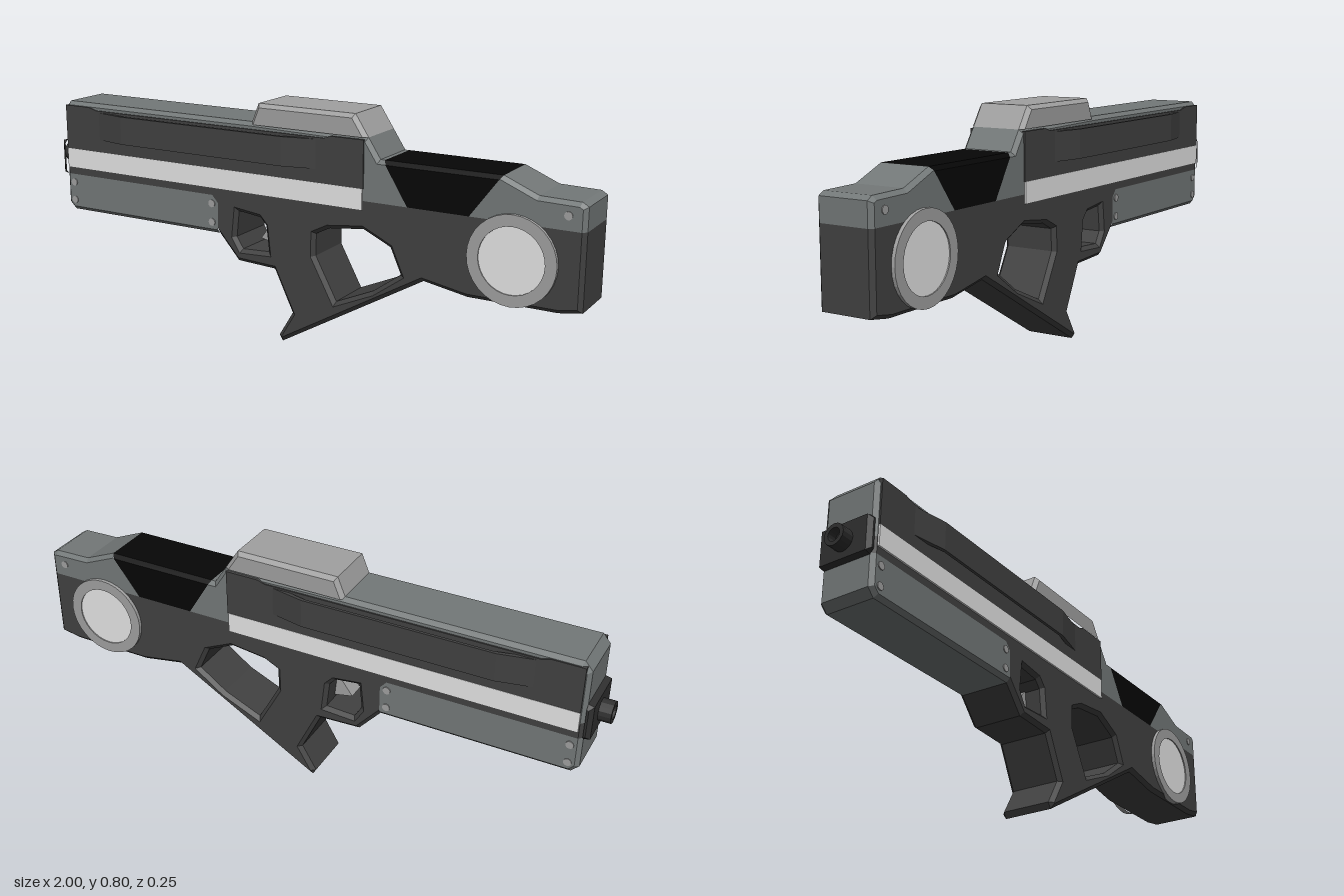
import * as THREE from 'three';

const mat = (name, color) => Object.assign(new THREE.MeshStandardMaterial({ color }), { name });
const H = 0.098;      // half thickness of the body
const BEVEL = 0.013;

// Chamfered slab from loops of [x, y, seam]; the outer loop runs counter-clockwise,
// holes clockwise. A seam edge butts against a neighbour and gets no chamfer or wall.
function slab(...loops) {
  const pos = [];
  const tri = (...v) => v.forEach((p) => pos.push(...p));
  const quad = (a, b, c, d) => tri(a, b, c, a, c, d);
  const at = (p, z) => [p[0], p[1], z];

  const insets = loops.map((loop) => {
    const n = loop.length;
    const lines = loop.map((p, i) => {
      const q = loop[(i + 1) % n];
      const len = Math.hypot(q[0] - p[0], q[1] - p[1]);
      const d = [(q[0] - p[0]) / len, (q[1] - p[1]) / len];
      const off = p[2] ? 0 : BEVEL;
      return { d, o: [p[0] - d[1] * off, p[1] + d[0] * off] };
    });
    return lines.map((b, i) => {
      const a = lines[(i + n - 1) % n];
      const cross = a.d[0] * b.d[1] - a.d[1] * b.d[0];
      const t = ((b.o[0] - a.o[0]) * b.d[1] - (b.o[1] - a.o[1]) * b.d[0]) / cross;
      return [a.o[0] + a.d[0] * t, a.o[1] + a.d[1] * t];
    });
  });

  loops.forEach((loop, k) => loop.forEach((p, i) => {
    if (p[2]) return;
    const j = (i + 1) % loop.length;
    const q = loop[j], pi = insets[k][i], qi = insets[k][j], w = H - BEVEL;
    quad(at(p, -w), at(q, -w), at(q, w), at(p, w));
    quad(at(p, w), at(q, w), at(qi, H), at(pi, H));
    quad(at(q, -w), at(p, -w), at(pi, -H), at(qi, -H));
  }));

  const [outer, ...holes] = insets.map((l) => l.map((p) => new THREE.Vector2(...p)));
  const all = insets.flat();
  for (const [a, b, c] of THREE.ShapeUtils.triangulateShape(outer, holes)) {
    tri(at(all[a], H), at(all[b], H), at(all[c], H));
    tri(at(all[c], -H), at(all[b], -H), at(all[a], -H));
  }
  const g = new THREE.BufferGeometry();
  g.setAttribute('position', new THREE.Float32BufferAttribute(pos, 3));
  g.computeVertexNormals();
  return g;
}

// Plain extrusion centred on z = 0
function prism(points, half) {
  const shape = new THREE.Shape(points.map((p) => new THREE.Vector2(...p)));
  return new THREE.ExtrudeGeometry(shape, { depth: half * 2, bevelEnabled: false }).translate(0, 0, -half);
}

// Faceted turned part from [radius, height] points, listed upwards along the outside
function turned(points, sides) {
  const g = new THREE.LatheGeometry(points.map((p) => new THREE.Vector2(...p)), sides).toNonIndexed();
  g.computeVertexNormals();
  return g;
}

export function createModel() {
  const dark = mat('charcoal', 0x414141);
  const slate = mat('slate', 0x737878);
  const light = mat('midGrey', 0xa0a0a0);
  const pale = mat('paleGrey', 0xe4e4e4);
  const black = mat('black', 0x060606);
  const steel = mat('darkSteel', 0x303030);

  const model = new THREE.Group();
  model.name = 'rifle';
  const add = (name, geometry, material, x = 0, y = 0, z = 0) => {
    const m = new THREE.Mesh(geometry, material);
    m.name = name;
    m.position.set(x, y, z);
    model.add(m);
    return m;
  };

  // Main frame with grip, trigger guard hole and thumb hole
  add('frame', slab(
    [[-0.94, 0.475, 1], [-0.3, 0.475, 1], [-0.278, 0.45, 1], [-0.278, 0.342], [-0.203, 0.257],
      [-0.059, 0.25], [0.01, 0.107], [-0.042, 0.02], [-0.03, 0], [0.487, 0.298], [0.636, 0.272],
      [0.925, 0.272], [1, 0.284], [1, 0.53, 1], [-0.94, 0.53]],
    [[-0.2, 0.43], [-0.115, 0.42], [-0.092, 0.395], [-0.082, 0.305], [-0.185, 0.3], [-0.21, 0.34]],
    [[0.1, 0.395], [0.15, 0.42], [0.273, 0.435], [0.37, 0.39], [0.408, 0.305], [0.31, 0.235],
      [0.176, 0.176], [0.098, 0.32]],
  ), dark);

  // Coloured body sections
  add('upperReceiver', slab([[-0.94, 0.53, 1], [0.43, 0.53, 1], [0.345, 0.667], [0.33, 0.667],
    [0.287, 0.732], [-0.144, 0.74], [-0.915, 0.74], [-0.94, 0.71]]), slate);
  add('lowerForend', slab([[-0.915, 0.342], [-0.278, 0.342, 1], [-0.278, 0.45, 1], [-0.3, 0.475, 1],
    [-0.94, 0.475], [-0.94, 0.367]]), slate);
  add('sightHump', slab([[-0.147, 0.732, 1], [0.287, 0.732], [0.24, 0.803], [-0.118, 0.803]]), light);
  add('cheekRest', slab([[0.43, 0.53, 1], [0.636, 0.53, 1], [0.738, 0.667], [0.345, 0.667, 1]]), black);
  add('stockTop', slab([[0.636, 0.53, 1], [1, 0.53], [1, 0.605], [0.98, 0.617], [0.85, 0.62],
    [0.738, 0.667, 1]]), slate);

  // Side panels and stripes, reaching through to both sides
  add('sidePanel', prism([[-0.925, 0.57], [0.278, 0.57], [0.278, 0.726], [0.16, 0.726], [0.135, 0.717],
    [-0.79, 0.717], [-0.82, 0.726], [-0.925, 0.726]], 0.103), dark);
  add('sideStripe', new THREE.BoxGeometry(1.2, 0.07, 0.208), pale, -0.325, 0.535);

  // Bowed side rails standing off the body
  const rail = new THREE.ExtrudeGeometry(new THREE.Shape(
    [[-0.465, 0.098], [-0.325, 0.127], [0.325, 0.127], [0.465, 0.098], [0.4, 0.098], [0.315, 0.117],
      [-0.315, 0.117], [-0.4, 0.098]].map((p) => new THREE.Vector2(...p))),
  { depth: 0.097, bevelEnabled: false }).rotateX(-Math.PI / 2);
  for (const turn of [0, Math.PI]) {
    add('sideRail', rail, dark, -0.335, 0.614).rotation.y = turn;
  }

  // Round stock medallion: raised rings around pale discs
  const ring = turned([[0.143, 0.09], [0.143, 0.11], [0.106, 0.11], [0.106, 0.09]], 32);
  for (const s of [1, -1]) {
    add('stockRing', ring, light, 0.78, 0.415).rotation.x = s * Math.PI / 2;
  }
  add('stockDisc', new THREE.CylinderGeometry(0.107, 0.107, 0.212, 32).rotateX(Math.PI / 2), pale, 0.78, 0.415);

  // Screws, visible on both sides
  const screw = new THREE.CylinderGeometry(0.013, 0.013, 0.202, 12).rotateX(Math.PI / 2);
  for (const [x, y] of [[-0.905, 0.445], [-0.905, 0.38], [-0.302, 0.445], [-0.302, 0.38], [0.945, 0.575]]) {
    add('screw', screw, light, x, y);
  }

  // Trigger
  add('trigger', prism([[-0.148, 0.33], [-0.075, 0.315], [-0.085, 0.4], [-0.1, 0.395]], 0.03), light);

  // Muzzle block and hollow barrel
  add('muzzleBlock', slab([[-0.96, 0.475], [-0.94, 0.47, 1], [-0.94, 0.597], [-0.96, 0.592]]), steel);
  add('barrel', turned([[0.036, -0.02], [0.036, 0.05], [0.022, 0.05], [0.022, 0.02], [0, 0.02]], 16),
    steel, -0.95, 0.533).rotation.z = Math.PI / 2;

  return model;
}
